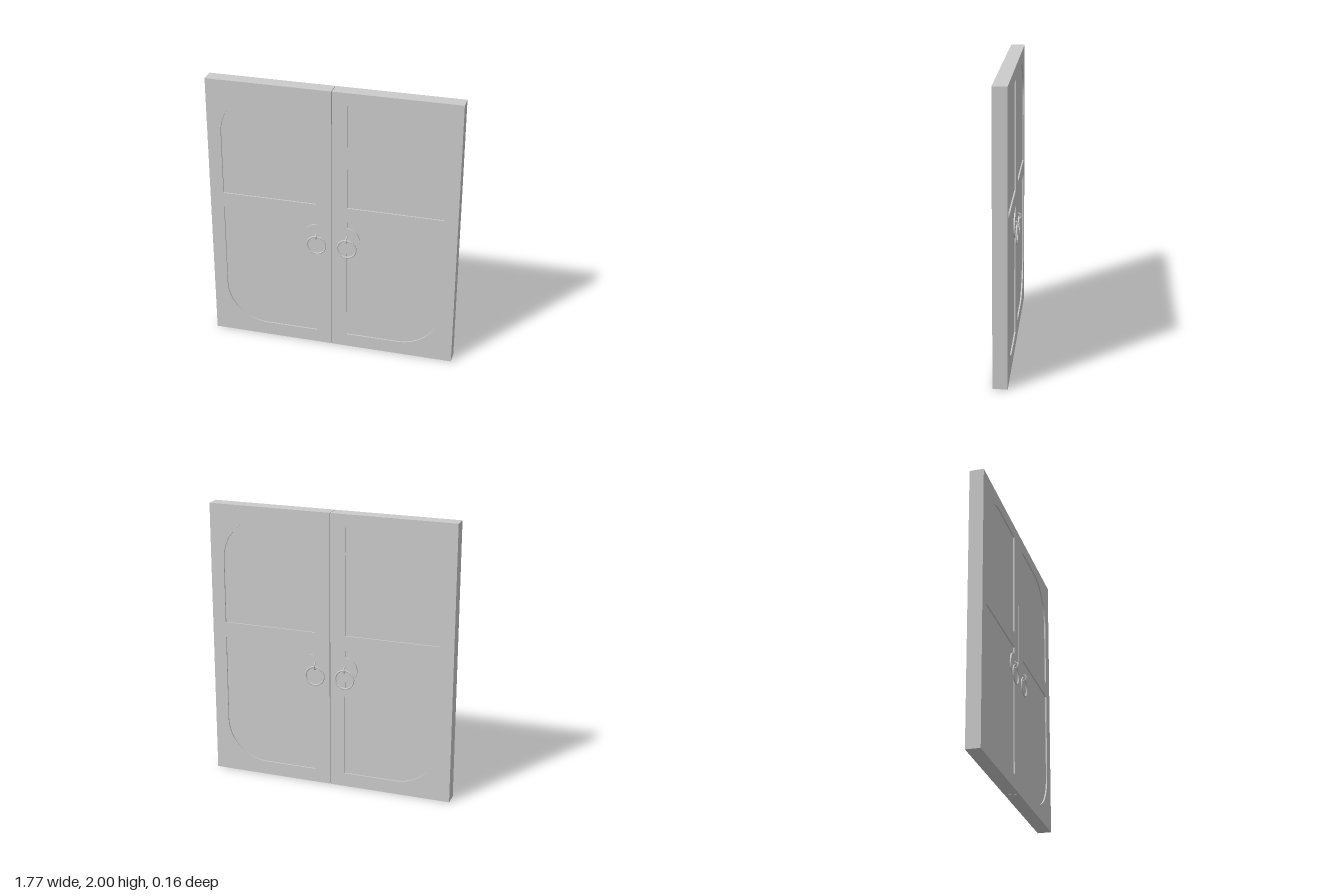
import * as THREE from 'three';

const HALF = 0.05;      // half thickness of a leaf
const RECESS = 0.01;    // depth of the sunken panels
const IN = 0.11, OUT = 0.79, R = 0.3;

// A slab extruded symmetrically about z = 0
function slab(shape, half, material) {
  const geo = new THREE.ExtrudeGeometry(shape, { depth: half * 2, bevelEnabled: false, curveSegments: 16 });
  geo.translate(0, 0, -half);
  return new THREE.Mesh(geo, material);
}

function rectangle(x0, y0, x1, y1) {
  return new THREE.Shape([[x0, y0], [x1, y0], [x1, y1], [x0, y1]].map(p => new THREE.Vector2(...p)));
}

// Upper opening, with its outer top corner rounded
function upperOpening() {
  const p = new THREE.Path();
  p.moveTo(IN, 1.14);
  p.lineTo(OUT, 1.14);
  p.lineTo(OUT, 1.91 - R);
  p.absarc(OUT - R, 1.91 - R, R, 0, Math.PI / 2, false);
  p.lineTo(IN, 1.91);
  p.closePath();
  return p;
}

// Lower opening, with a rounded outer corner and a half-round boss for the handle
function lowerOpening() {
  const p = new THREE.Path();
  p.moveTo(IN, 0.1);
  p.lineTo(OUT - R, 0.1);
  p.absarc(OUT - R, 0.1 + R, R, -Math.PI / 2, 0, false);
  p.lineTo(OUT, 1.03);
  p.lineTo(IN, 1.03);
  p.lineTo(IN, 0.98);
  p.absarc(IN, 0.89, 0.09, Math.PI / 2, -Math.PI / 2, true);
  p.closePath();
  return p;
}

// Staple and hanging ring on one face
function makeHandle(side, material) {
  const handle = new THREE.Group();
  handle.name = 'handle';
  const staple = new THREE.Mesh(new THREE.TorusGeometry(0.022, 0.005, 10, 28), material);
  staple.name = 'staple';
  staple.rotation.y = Math.PI / 2;
  staple.position.set(IN, 0.893, side * 0.052);
  const ring = new THREE.Mesh(new THREE.TorusGeometry(0.067, 0.006, 10, 48), material);
  ring.name = 'ring';
  ring.position.set(IN, 0.821, side * 0.059);
  handle.add(staple, ring);
  return handle;
}

function makeLeaf(material) {
  const leaf = new THREE.Group();
  // Frame with two openings
  const outline = rectangle(0.002, 0, 0.887, 2);
  outline.holes.push(upperOpening(), lowerOpening());
  const frame = slab(outline, HALF, material);
  frame.name = 'frame';
  leaf.add(frame);
  // Sunken panels filling the openings
  [['upperPanel', upperOpening()], ['lowerPanel', lowerOpening()]].forEach(([name, path]) => {
    const panel = slab(new THREE.Shape(path.getPoints(16)), HALF - RECESS, material);
    panel.name = name;
    leaf.add(panel);
  });
  // Handles on both faces
  for (const side of [1, -1]) leaf.add(makeHandle(side, material));
  return leaf;
}

export function createModel() {
  const model = new THREE.Group();
  model.name = 'doubleDoor';
  const material = new THREE.MeshStandardMaterial({ color: 0xcccccc });
  // The leaves match front and back, so a half turn gives the mirrored one
  ['leftLeaf', 'rightLeaf'].forEach((name, i) => {
    const leaf = makeLeaf(material);
    leaf.name = name;
    leaf.rotation.y = i * Math.PI;
    model.add(leaf);
  });
  return model;
}
